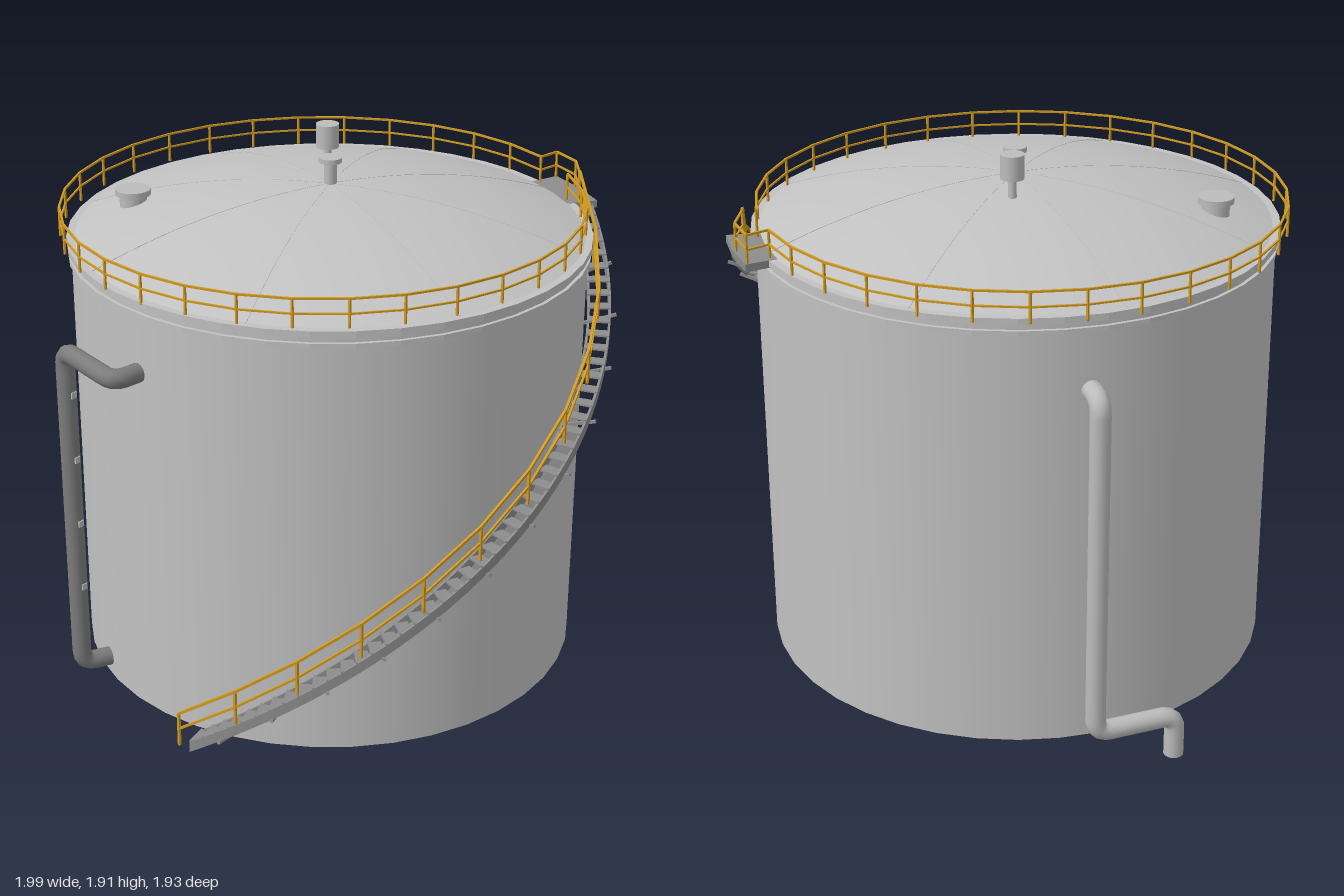
import * as THREE from 'three';
import { mergeGeometries } from 'three/addons/utils/BufferGeometryUtils.js';

const V = (x, y, z) => new THREE.Vector3(x, y, z);
const TANK = V(-0.005, 0, -0.038), STAIR = V(-0.005, 0, -0.02);
const GUARD = V(-0.037, 0, -0.04), HAND = V(-0.037, 0, 0);

const mat = (name, color, side = THREE.FrontSide) => {
  const m = new THREE.MeshStandardMaterial({ color, side });
  m.name = name;
  return m;
};

// Point on a circle; angle in degrees from the front (+z) towards +x
const polar = (c, r, deg, y) => {
  const a = THREE.MathUtils.degToRad(deg);
  return V(c.x + r * Math.sin(a), y, c.z + r * Math.cos(a));
};

const flat = (g) => {
  const f = g.toNonIndexed();
  f.computeVertexNormals();
  return f;
};

// Square bar between two points: w across, h along the upright direction
function bar(a, b, w, h = w) {
  const g = new THREE.BoxGeometry(w, h, a.distanceTo(b));
  const m = new THREE.Object3D();
  m.position.copy(a).lerp(b, 0.5);
  m.lookAt(b);
  m.updateMatrix();
  return g.applyMatrix4(m.matrix);
}
const polyBars = (pts, w, h) => pts.slice(1).map((p, i) => bar(pts[i], p, w, h));

// Curved strip of rectangular section that may climb; y is its top
function arcBand(c, r0, r1, h, t0, t1, y0, y1, n) {
  const pos = [], idx = [];
  for (let i = 0; i <= n; i++) {
    const k = i / n, t = t0 + (t1 - t0) * k, y = y0 + (y1 - y0) * k;
    for (const [r, yy] of [[r0, y - h], [r1, y - h], [r1, y], [r0, y]]) pos.push(...polar(c, r, t, yy).toArray());
    if (i < n) for (let j = 0; j < 4; j++) {
      const a = i * 4 + j, b = i * 4 + (j + 1) % 4;
      idx.push(a, a + 4, b, b, a + 4, b + 4);
    }
  }
  const e = n * 4;
  idx.push(0, 1, 2, 0, 2, 3, e, e + 2, e + 1, e, e + 3, e + 2);
  const g = new THREE.BufferGeometry();
  g.setAttribute('position', new THREE.Float32BufferAttribute(pos, 3));
  g.setIndex(idx);
  return flat(g);
}

// Round pipe through corner points, with rounded bends and closed ends
function pipe(pts, r, bend = 0.05) {
  const path = new THREE.CurvePath();
  let last = pts[0];
  for (let i = 1; i < pts.length - 1; i++) {
    const p = pts[i];
    const a = p.clone().add(pts[i - 1].clone().sub(p).setLength(bend));
    const b = p.clone().add(pts[i + 1].clone().sub(p).setLength(bend));
    path.add(new THREE.LineCurve3(last, a));
    path.add(new THREE.QuadraticBezierCurve3(a, p, b));
    last = b;
  }
  path.add(new THREE.LineCurve3(last, pts.at(-1)));
  const cap = (end, from) => {
    const o = new THREE.Object3D();
    o.position.copy(end);
    o.lookAt(end.clone().multiplyScalar(2).sub(from));
    o.updateMatrix();
    return new THREE.CircleGeometry(r, 14).applyMatrix4(o.matrix);
  };
  return mergeGeometries([new THREE.TubeGeometry(path, 90, r, 14), cap(pts[0], pts[1]), cap(pts.at(-1), pts.at(-2))]);
}

export function createModel() {
  const root = new THREE.Group();
  root.name = 'storageTank';
  const steel = mat('tankGrey', 0xc2c2c2, THREE.DoubleSide);
  const fitting = mat('fittingGrey', 0xbcbcbc);
  const darkPipe = mat('darkPipeGrey', 0x7c7c7c);
  const stairGrey = mat('stairGrey', 0x8c8c8c);
  const gold = mat('railYellow', 0xd09a20);
  const add = (name, geo, material, at) => {
    const m = new THREE.Mesh(Array.isArray(geo) ? mergeGeometries(geo) : geo, material);
    m.name = name;
    if (at) m.position.copy(at);
    root.add(m);
  };
  const SEG = 40;

  // Shell, open underneath
  add('shell', new THREE.CylinderGeometry(0.882, 0.882, 1.52, SEG, 1, true), steel, V(TANK.x, 0.845, TANK.z));

  // Rim rings
  for (const [y, h, r] of [[1.553, 0.016, 0.894], [1.59, 0.022, 0.897]]) {
    const prof = [[0.87, 0], [r, 0], [r, h], [0.87, h]].map(([x, yy]) => new THREE.Vector2(x, yy));
    add('rimRing', flat(new THREE.LatheGeometry(prof, SEG)), steel, V(TANK.x, y, TANK.z));
  }

  // Domed roof with eight slim ribs
  const R = 2.48, domeY = (r) => 1.77 - R + Math.sqrt(R * R - r * r);
  const dome = [];
  for (let i = 0; i <= 12; i++) dome.push(new THREE.Vector2(0.89 * (1 - i / 12), domeY(0.89 * (1 - i / 12))));
  add('roof', new THREE.LatheGeometry(dome, SEG), steel, TANK);
  const ribs = [];
  for (let k = 0; k < 8; k++) {
    const pts = [];
    for (let i = 0; i <= 10; i++) pts.push(polar(TANK, 0.03 + 0.084 * i, 22.5 + 45 * k, domeY(0.03 + 0.084 * i)));
    ribs.push(...polyBars(pts, 0.006, 0.002));
  }
  add('roofRibs', ribs, steel);

  // Roof fittings: stacked cylinders [radius, bottom, top]
  const stack = (name, x, z, parts) => add(name, parts.map(([r, a, b]) =>
    new THREE.CylinderGeometry(r, r, b - a, 24).translate(x, (a + b) / 2, z)), fitting);
  stack('centreVent', -0.007, -0.043, [[0.022, 1.75, 1.845], [0.04, 1.845, 1.862]]);
  stack('pressureVent', -0.155, -0.205, [[0.014, 1.74, 1.83], [0.04, 1.825, 1.908]]);
  stack('roofHatch', -0.567, 0.342, [[0.047, 1.64, 1.71], [0.061, 1.706, 1.727]]);

  // Side pipes
  add('frontPipe', pipe([V(-0.32, 0.15, 0.74), V(-0.38, 0.15, 0.87), V(-0.38, 1.352, 0.87),
    V(-0.085, 1.352, 0.937), V(-0.07, 1.352, 0.8)], 0.033), darkPipe);
  add('backPipe', pipe([V(-0.72, 1.352, -0.45), V(-0.845, 1.352, -0.52), V(-0.845, 0.15, -0.52),
    V(-0.965, 0.15, -0.26), V(-0.965, 0, -0.26)], 0.034), fitting);

  // Small lugs on the side of the front pipe
  add('pipeLugs', [0.47, 0.717, 0.96, 1.2].map((y) =>
    new THREE.BoxGeometry(0.02, 0.022, 0.022).translate(-0.354, y, 0.87)), fitting);

  // Spiral stair: stringers, treads and sloping braces
  const T0 = 12, T1 = 147, climb = (t) => 0.105 + 1.505 * (t - T0) / (T1 - T0);
  for (const r of [0.9, 0.972]) {
    add('stairStringer', arcBand(STAIR, r, r + 0.008, 0.04, T0, T1, climb(T0), climb(T1), 48), stairGrey);
  }
  const treads = [];
  for (let i = 0; i < 48; i++) {
    const t = T0 + 1.4 + i * 2.8, y = climb(t) - 0.01;
    treads.push(arcBand(STAIR, 0.9, 0.978, 0.006, t - 1.42, t + 1.42, y, y, 1));
  }
  add('stairTreads', treads, stairGrey);
  const braces = [];
  for (let t = 19; t < 146; t += 10.6) {
    const y = climb(t) - 0.035;
    braces.push(bar(polar(STAIR, 0.86, t, y - 0.045), polar(STAIR, 1.0, t, y), 0.01));
  }
  add('stairBraces', braces, stairGrey);

  // Landing at the top of the stair
  add('landing', arcBand(STAIR, 0.87, 0.995, 0.026, T1 - 1, 162.5, 1.613, 1.613, 2), stairGrey);

  // Handrails: posts with a top rail and a middle rail
  const railing = (name, feet, height, w) => {
    const up = (k) => feet.map((p) => p.clone().setY(p.y + height * k));
    const tops = up(1);
    add(name, [...feet.map((p, i) => bar(p, tops[i], w)), ...polyBars(tops, w), ...polyBars(up(0.52), w * 0.85)], gold);
  };
  const stairFeet = [], roofFeet = [];
  for (let i = 0; i <= 11; i++) {
    const t = T0 + (T1 - T0) * i / 11;
    stairFeet.push(polar(HAND, 0.972, t, climb(t) - 0.02));
  }
  railing('stairRail', stairFeet, 0.125, 0.009);
  for (let i = 0; i <= 31; i++) roofFeet.push(polar(GUARD, 0.895, 146 - 11.2 * i, 1.605));
  railing('roofRail', roofFeet, 0.104, 0.007);
  railing('landingRail', [polar(HAND, 0.972, T1, 1.605), polar(STAIR, 0.985, 155, 1.605),
    polar(STAIR, 0.985, 162, 1.605), roofFeet.at(-1)], 0.104, 0.007);

  return root;
}
